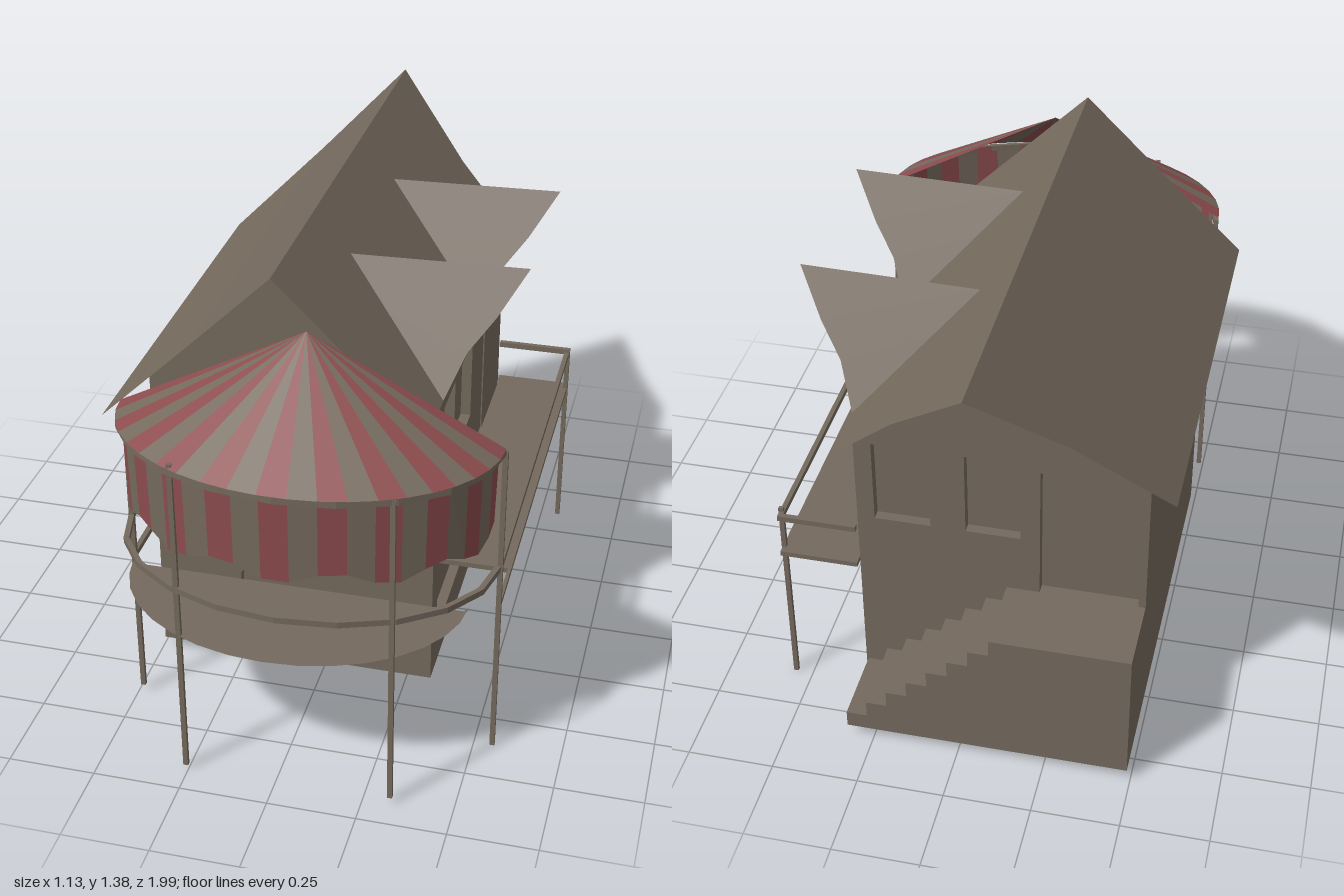
import * as THREE from 'three';

const stone = new THREE.MeshStandardMaterial({ color: 0x74695d, side: THREE.DoubleSide });
stone.name = 'grey brown';
const red = new THREE.MeshStandardMaterial({ color: 0x8c4b4d, side: THREE.DoubleSide });
red.name = 'faded red';

export function createModel() {
  const model = new THREE.Group();
  model.name = 'house';

  const add = (name, geo, mat = stone) => {
    const m = new THREE.Mesh(geo, mat);
    m.name = name;
    model.add(m);
    return m;
  };
  const box = (name, x0, x1, y0, y1, z0, z1) =>
    add(name, new THREE.BoxGeometry(x1 - x0, y1 - y0, z1 - z0)
      .translate((x0 + x1) / 2, (y0 + y1) / 2, (z0 + z1) / 2));
  // flat-shaded surface through rows of points
  const sheet = (rows) => {
    const p = [];
    for (let i = 0; i + 1 < rows.length; i++) {
      for (let j = 0; j + 1 < rows[i].length; j++) {
        const a = rows[i][j], b = rows[i + 1][j], c = rows[i + 1][j + 1], d = rows[i][j + 1];
        p.push(...a, ...b, ...c, ...a, ...c, ...d);
      }
    }
    const g = new THREE.BufferGeometry();
    g.setAttribute('position', new THREE.Float32BufferAttribute(p, 3));
    g.computeVertexNormals();
    return g;
  };
  const poly = (pts) => pts.map(([x, y]) => new THREE.Vector2(x, y));
  const rect = (x0, x1, y0, y1) => [[x0, y0], [x1, y0], [x1, y1], [x0, y1]];
  const arch = (x, w) => [[0, 0], [0.04, 0.77], [0.21, 0.95], [0.54, 1], [0.79, 0.94], [0.94, 0.77], [1, 0]]
    .map(([u, v]) => [x + u * w, 0.155 + v * 0.22]);
  const plate = (outline, holes, depth) => {
    const s = new THREE.Shape(poly(outline));
    holes.forEach((h) => s.holes.push(new THREE.Path(poly(h))));
    return new THREE.ExtrudeGeometry(s, { depth, bevelEnabled: false });
  };

  // house core with outer wall plates that carry the recessed openings
  const D = 0.03;
  const gable = (right) => [[-0.49, 0.04], [right, 0.04], [right, 0.965], [-0.08, 1.365], [-0.49, 0.97]];
  add('houseCore', plate(gable(0.33 - D), [], 1.02 - 2 * D).translate(0, 0, -0.61 + D));
  add('frontWall', plate(gable(0.33), [arch(-0.255, 0.36)], D).translate(0, 0, 0.41 - D));
  add('backWall', plate(gable(0.33).map(([x, y]) => [-x, y]), [
    rect(-0.28, -0.12, 0.64, 0.9), rect(-0.02, 0.135, 0.64, 0.9), rect(0.19, 0.47, 0.455, 0.88),
  ], D).rotateY(Math.PI).translate(0, 0, -0.61 + D));
  add('rightWall', plate(rect(-0.41 + D, 0.61 - D, 0.04, 0.965), [
    rect(-0.35, -0.15, 0.64, 0.9), rect(-0.09, 0.11, 0.64, 0.9),
    arch(-0.35, 0.42), arch(0.13, 0.43),
  ], D).rotateY(Math.PI / 2).translate(0.33 - D, 0, 0));
  box('sideDoor', 0.32, 0.334, 0.49, 0.9, -0.57, -0.295);

  // main roof with a back edge that sweeps out to the peak
  const roof = [[-0.57, 0.905, -0.7], [-0.31, 1.155, -0.83], [-0.08, 1.38, -1],
    [0.15, 1.152, -0.83], [0.34, 0.965, -0.75]];
  add('mainRoof', sheet(roof.map(([x, y, z]) => [[x, y, 0.58], [x, y, z]])));

  // dormers: planes running out to a forward peak with a concave edge
  for (const z of [0.17, -0.36]) {
    for (const s of [1, -1]) {
      add('dormerRoof', sheet([[0.53, 1.285], [0.455, 1.165], [0.388, 1.08], [0.34, 0.965]].map(([x, y]) => {
        const f = (y - 0.965) / 0.32;
        const dz = s * 0.208 * (1 - f);
        return [[0.34 - 0.31 * f, 0.965 + 0.308 * f, z + dz], [x, y, z + dz]];
      })));
    }
    const wall = new THREE.ShapeGeometry(new THREE.Shape(poly([[-0.2, 0.965], [0.2, 0.965], [0, 1.275]])));
    add('dormerWall', wall.rotateY(Math.PI / 2).translate(0.335, 0, z));
  }

  // back stairs, descending towards +x from a landing
  const stairs = [[0.325, 0.04], [-0.49, 0.04], [-0.49, 0.455]];
  for (let i = 0; i < 7; i++) {
    const x = -0.095 + i * 0.06, y = 0.455 - i * 0.052;
    stairs.push([x, y], [x, y - 0.052]);
  }
  stairs.push([0.325, 0.091]);
  add('backStairs', plate(stairs, [], 0.225).translate(0, 0, -0.835));

  // side balcony
  box('balconyFloor', 0.33, 0.557, 0.475, 0.49, -0.64, 0.44);
  box('balconyRail', 0.543, 0.557, 0.603, 0.62, -0.64, 0.62);
  box('balconyEndRail', 0.33, 0.557, 0.603, 0.62, -0.64, -0.625);
  box('balconyBeam', 0.547, 0.557, 0.475, 0.49, 0.44, 0.62);
  box('leftRail', -0.497, -0.483, 0.603, 0.62, 0.41, 0.62);
  box('leftBeam', -0.497, -0.483, 0.473, 0.49, 0.41, 0.62);

  // posts
  for (const [x, z, y0, y1] of [[-0.488, 0.615, 0.02, 0.985], [-0.257, 0.915, 0.015, 1],
    [0.325, 0.915, 0.02, 0.985], [0.553, 0.615, 0.005, 0.98], [0.553, -0.612, 0, 0.63]]) {
    box('post', x - 0.007, x + 0.007, y0, y1, z - 0.006, z + 0.006);
  }

  // half-round front deck, rails and awning; angle runs from the -x end to the +x end
  const arc = (t, y, k = 1) => [0.03 - 0.525 * k * Math.cos(t * Math.PI), y,
    0.62 + 0.365 * k * Math.sin(t * Math.PI)];
  const deck = [];
  for (let i = 0; i <= 16; i++) {
    const [x, , z] = arc(i / 16, 0);
    deck.push([[-0.01 + (x - 0.03) * 0.915, 0.463, 0.63], [-0.01 + (x - 0.03) * 0.915, 0.463, z - 0.01]]);
  }
  add('frontDeck', sheet(deck));

  const band = (name, y, h) => {
    const rows = [];
    for (let i = 0; i <= 10; i++) {
      const t = i / 10;
      rows.push([arc(t, y), arc(t, y + h), arc(t, y + h, 0.97), arc(t, y, 0.97), arc(t, y)]);
    }
    add(name, sheet(rows));
  };
  band('frontRail', 0.603, 0.018);
  band('awningRod', 0.968, 0.02);

  // striped awning: half cone above, hanging valance below
  const N = 21;
  const apex = [0.03, 1.27, 0.635];
  for (let i = 0; i < N; i++) {
    const a = i / N, b = (i + 1) / N;
    const mat = i % 2 ? stone : red;
    const hem = (t) => arc(t, 0.74 + 0.02 * Math.cos(t * Math.PI * 10), 0.955);
    add('awningStripe', sheet([[apex, arc(a, 0.988)], [apex, arc(b, 0.988)]]), mat);
    add('valanceStripe', sheet([[arc(a, 0.985, 0.965), hem(a)], [arc(b, 0.985, 0.965), hem(b)]]), mat);
  }
  return model;
}
